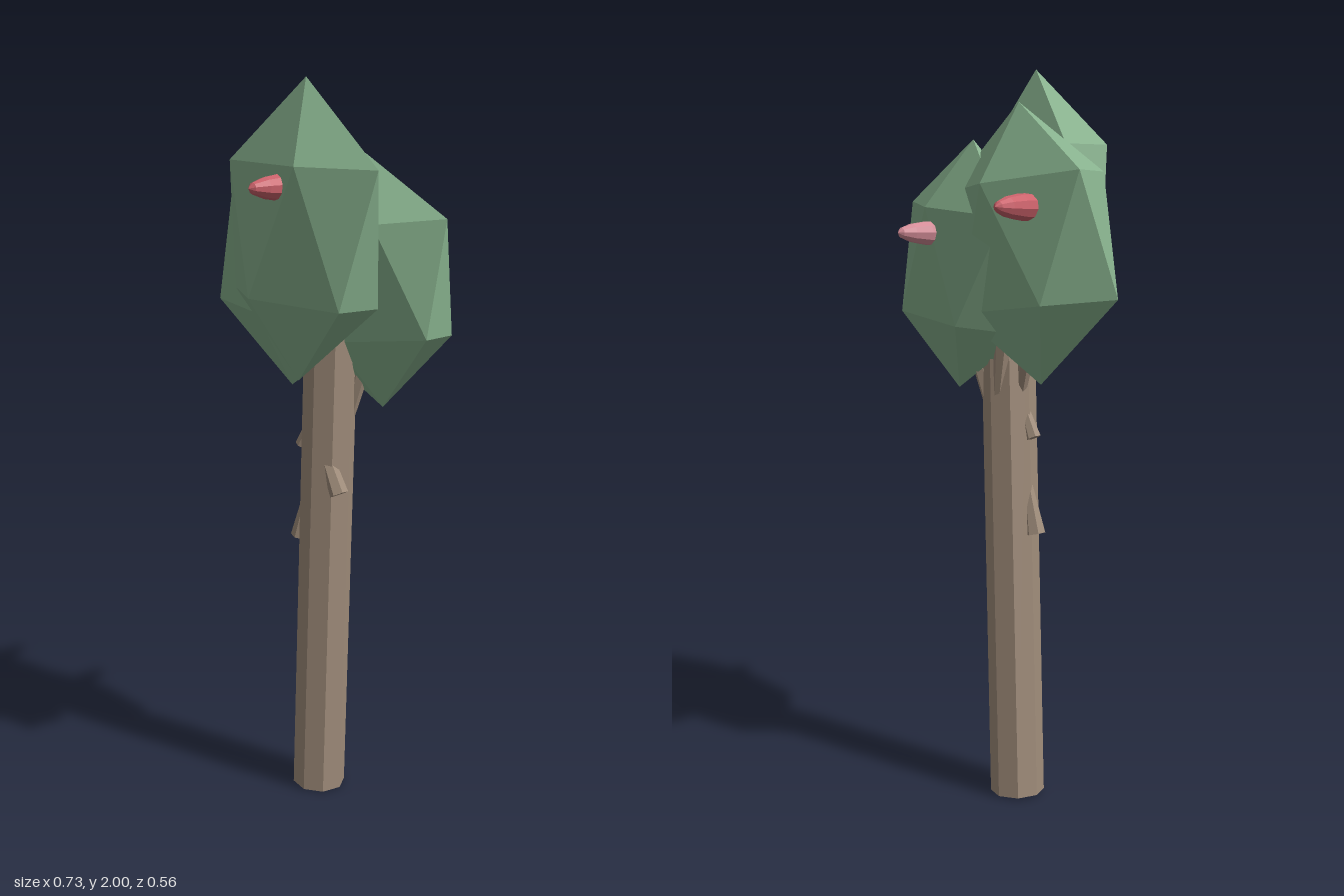
import * as THREE from 'three';
import { ConvexGeometry } from 'three/addons/geometries/ConvexGeometry.js';

const V = (a) => new THREE.Vector3(...a);

function flatMaterial(name, color) {
  const m = new THREE.MeshStandardMaterial({ color, flatShading: true });
  m.name = name;
  return m;
}

export function createModel() {
  const bark = flatMaterial('bark brown', 0xa08d7b);
  const leaf = flatMaterial('leaf green', 0x86b08c);
  const red = flatMaterial('fruit red', 0xcc626b);
  const pink = flatMaterial('fruit pink', 0xd58d98);

  const group = new THREE.Group();
  group.name = 'tree';

  const add = (geometry, material, name) => {
    const mesh = new THREE.Mesh(geometry, material);
    mesh.name = name;
    group.add(mesh);
    return mesh;
  };

  // Turns a mesh built along y so that it runs along a direction
  const aim = (mesh, dir) =>
    mesh.quaternion.setFromUnitVectors(new THREE.Vector3(0, 1, 0), dir.clone().normalize());

  // Tapered cylinder between two points
  function limb(name, from, to, r0, r1, sides) {
    const a = V(from), b = V(to);
    const mesh = add(new THREE.CylinderGeometry(r1, r0, a.distanceTo(b), sides), bark, name);
    mesh.position.copy(a).add(b).multiplyScalar(0.5);
    aim(mesh, b.sub(a));
  }

  // Squashed icosahedron: half axis up, and the two axes of its five-point rings
  function crown(name, centre, up, p, q) {
    const c = V(centre), u = V(up), points = [];
    const offsets = [u];
    for (let k = 0; k < 5; k++) {
      const t = (k * Math.PI * 2) / 5;
      offsets.push(u.clone().multiplyScalar(0.447)
        .addScaledVector(V(p), Math.cos(t))
        .addScaledVector(V(q), Math.sin(t)));
    }
    for (const o of offsets) points.push(c.clone().add(o), c.clone().sub(o));
    add(new ConvexGeometry(points), leaf, name);
  }

  // Long pointed fruit through a crown, with a colour for each half
  function fruit(name, from, to, radius, fromMaterial, toMaterial) {
    const a = V(from), b = V(to);
    const half = a.distanceTo(b) / 2;
    const middle = a.clone().add(b).multiplyScalar(0.5);
    const dir = b.clone().sub(a);
    [[0, toMaterial, 'Tip'], [Math.PI / 2, fromMaterial, 'Tail']].forEach(([start, material, part]) => {
      const geometry = new THREE.SphereGeometry(1, 10, 4, 0, Math.PI * 2, start, Math.PI / 2);
      geometry.scale(radius, half, radius);
      const mesh = add(geometry, material, name + part);
      mesh.position.copy(middle);
      aim(mesh, dir);
    });
  }

  // Leaning trunk
  limb('trunk', [-0.015, 0.004, -0.04], [0.042, 1.39, -0.018], 0.075, 0.073, 8);

  // Cut stubs
  limb('lowerStub', [-0.066, 0.75, -0.02], [-0.035, 0.89, -0.02], 0.027, 0.012, 6);
  limb('middleStub', [-0.058, 1.015, -0.02], [-0.02, 1.1, -0.02], 0.02, 0.012, 6);
  limb('sideStub', [0.096, 0.905, 0.02], [0.055, 0.99, 0.015], 0.026, 0.02, 6);

  // Branches up into the crowns
  limb('rightBranch', [-0.02, 1.13, -0.03], [-0.09, 1.36, -0.06], 0.012, 0.032, 6);
  limb('leftBranch', [0.07, 1.09, -0.06], [0.13, 1.34, -0.08], 0.012, 0.03, 6);
  limb('backBranch', [0.03, 1.08, -0.075], [-0.02, 1.36, -0.09], 0.01, 0.03, 6);

  // Crowns
  crown('frontCrown', [0.025, 1.61, 0.09], [0.015, 0.39, 0.0025],
    [0.27, -0.01, 0.062], [-0.027, 0, 0.108]);
  crown('backRightCrown', [-0.09, 1.535, -0.07], [0.04, 0.365, 0],
    [-0.215, 0.024, -0.031], [0.136, -0.015, -0.099]);
  crown('backLeftCrown', [0.135, 1.475, -0.083], [-0.035, 0.335, -0.005],
    [0.246, 0.025, 0.018], [-0.005, 0, 0.099]);

  // Fruits
  fruit('frontFruit', [0.075, 1.73, -0.072], [-0.002, 1.728, 0.277], 0.039, red, red);
  fruit('backRightFruit', [-0.12, 1.63, 0.05], [-0.166, 1.63, -0.277], 0.037, red, red);
  fruit('backLeftFruit', [0.18, 1.56, 0.037], [0.19, 1.565, -0.28], 0.035, red, pink);

  return group;
}
